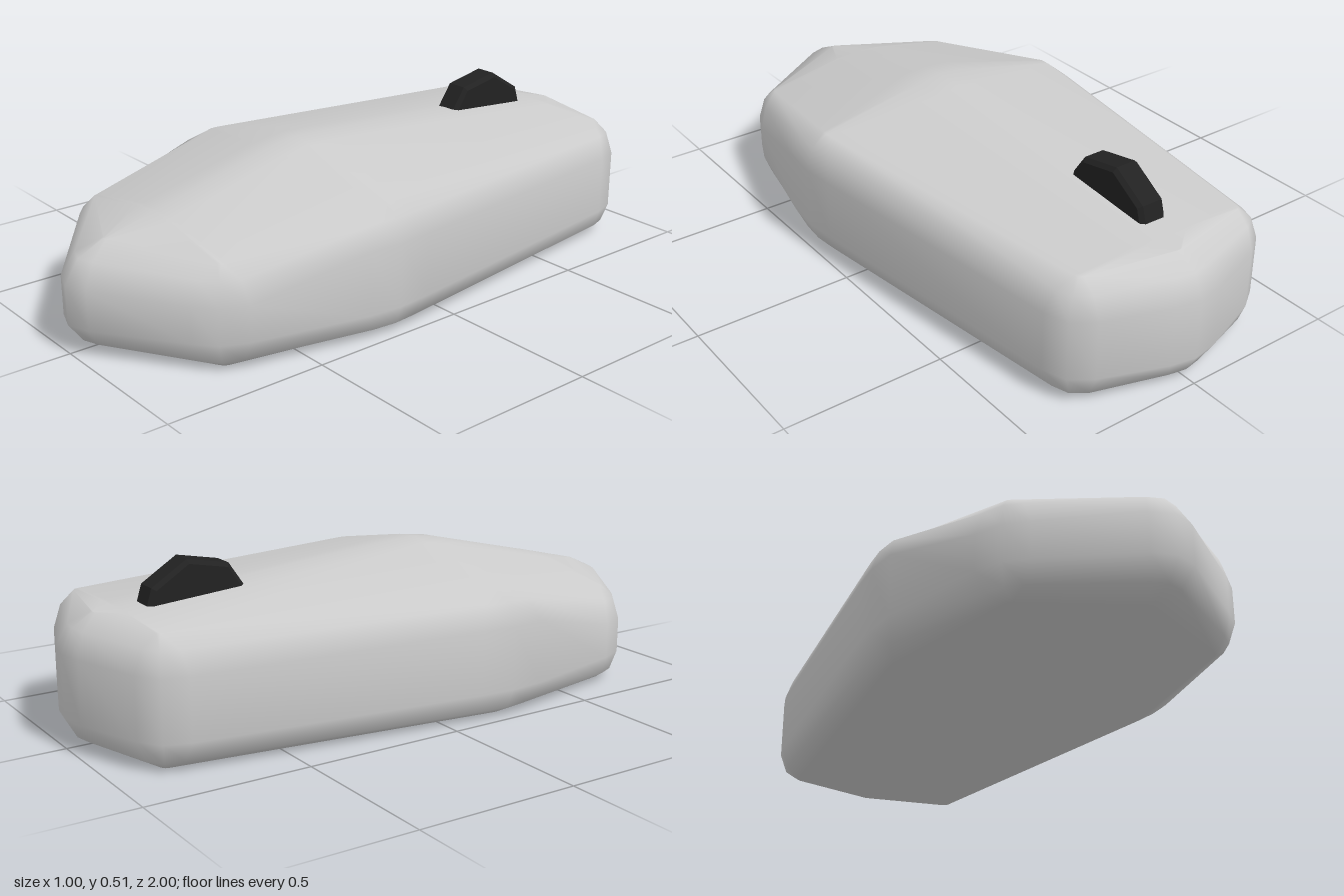
import * as THREE from 'three';

// Half outline from back tip to front tip:
// [outer x, outer z, inner corner x, inner corner z, shoulder height, ridge z (optional)]
const OUTLINE = [
  [0, -1, 0, -0.885, 0.385],
  [0.08, -0.985, 0, -0.885, 0.385],
  [0.28, -0.91, 0.28, -0.83, 0.38],
  [0.345, -0.865, 0.28, -0.83, 0.38],
  [0.37, -0.79, 0.28, -0.83, 0.38],
  [0.49, 0.1, 0.415, 0.2, 0.39, 0.1],
  [0.5, 0.21, 0.415, 0.2, 0.39, 0.2],
  [0.49, 0.32, 0.415, 0.2, 0.39, 0.3],
  [0.41, 0.67, 0.325, 0.7, 0.305],
  [0.375, 0.75, 0.325, 0.7, 0.305],
  [0.315, 0.8, 0.325, 0.7, 0.305],
  [0.07, 0.975, 0, 0.85, 0.315],
  [0, 1, 0, 0.85, 0.315],
];

// Height of the centre ridge along z
const RIDGE = [[-0.9, 0.385], [0.1, 0.465], [0.2, 0.47], [0.3, 0.455], [0.87, 0.315]];
function ridgeHeight(z) {
  if (z <= RIDGE[0][0]) return RIDGE[0][1];
  for (let i = 1; i < RIDGE.length; i++) {
    const [z0, y0] = RIDGE[i - 1], [z1, y1] = RIDGE[i];
    if (z <= z1) return y0 + (y1 - y0) * (z - z0) / (z1 - z0);
  }
  return RIDGE[RIDGE.length - 1][1];
}

function bodyGeometry() {
  const last = OUTLINE.length - 1, count = last * 2;
  const positions = [], index = [];
  const addPoint = (x, y, z) => positions.push(x, y, z) / 3 - 1;
  const tri = (a, b, c) => {
    if (a !== b && b !== c && a !== c) index.push(a, b, c);
  };

  // Rings from the base, around the bevels, to the shoulder; spread 1 is the full outline
  const rings = [
    [0.15, () => 0],
    [0.7, () => 0.027],
    [1, () => 0.088],
    [1, e => e - 0.107],
    [0.7, e => e - 0.038],
    [0.15, e => e],
  ].map(([spread, height]) => {
    const ring = [];
    for (let i = 0; i < count; i++) {
      const side = i <= last ? 1 : -1;
      const [ox, oz, cx, cz, e] = OUTLINE[i <= last ? i : count - i];
      ring.push(addPoint(side * (cx + (ox - cx) * spread), height(e), cz + (oz - cz) * spread));
    }
    return ring;
  });
  for (let r = 0; r < rings.length - 1; r++) {
    for (let i = 0; i < count; i++) {
      const j = (i + 1) % count, lo = rings[r], hi = rings[r + 1];
      tri(lo[i], hi[i], hi[j]);
      tri(lo[i], hi[j], lo[j]);
    }
  }

  // Flat underside
  for (let i = 1; i < count - 1; i++) tri(rings[0][0], rings[0][i], rings[0][i + 1]);

  // Roof: cross rows from shoulder to shoulder over a softened ridge
  const top = rings[rings.length - 1];
  const rows = OUTLINE.map((p, i) => {
    const right = top[i], left = top[(count - i) % count];
    if (i === 0 || i === last) return Array(5).fill(right);
    const edgeX = positions[right * 3];
    const z = p[5] ?? positions[right * 3 + 2];
    const y = ridgeHeight(z), x = Math.min(0.08, edgeX * 0.5);
    const softY = y - (y - p[4]) * 0.1;
    return [left, addPoint(-x, softY, z), addPoint(0, y, z), addPoint(x, softY, z), right];
  });
  for (let i = 0; i < last; i++) {
    for (let k = 0; k < 4; k++) {
      tri(rows[i][k], rows[i + 1][k], rows[i + 1][k + 1]);
      tri(rows[i][k], rows[i + 1][k + 1], rows[i][k + 1]);
    }
  }

  const geometry = new THREE.BufferGeometry();
  geometry.setAttribute('position', new THREE.Float32BufferAttribute(positions, 3));
  geometry.setIndex(index);
  geometry.computeVertexNormals();
  return geometry;
}

// Faceted scroll wheel, its lower part sunk in the body
function wheelGeometry() {
  const shape = new THREE.Shape([
    [-0.775, 0.37], [-0.7, 0.28], [-0.53, 0.28], [-0.44, 0.39],
    [-0.507, 0.488], [-0.64, 0.515], [-0.752, 0.445],
  ].map(([z, y]) => new THREE.Vector2(z, y)));
  const bevel = 0.012;
  const geometry = new THREE.ExtrudeGeometry(shape, {
    depth: 0.09 - 2 * bevel, bevelThickness: bevel, bevelSize: bevel,
    bevelOffset: -bevel, bevelSegments: 1,
  });
  geometry.rotateY(-Math.PI / 2);
  geometry.translate(0.01 - bevel, 0, 0);
  return geometry;
}

export function createModel() {
  const shell = new THREE.MeshStandardMaterial({ color: 0xcccccc });
  shell.name = 'light grey shell';
  const rubber = new THREE.MeshStandardMaterial({ color: 0x222222 });
  rubber.name = 'black rubber';

  const model = new THREE.Group();
  model.name = 'computerMouse';
  const body = new THREE.Mesh(bodyGeometry(), shell);
  body.name = 'body';
  const wheel = new THREE.Mesh(wheelGeometry(), rubber);
  wheel.name = 'scrollWheel';
  model.add(body, wheel);
  return model;
}
